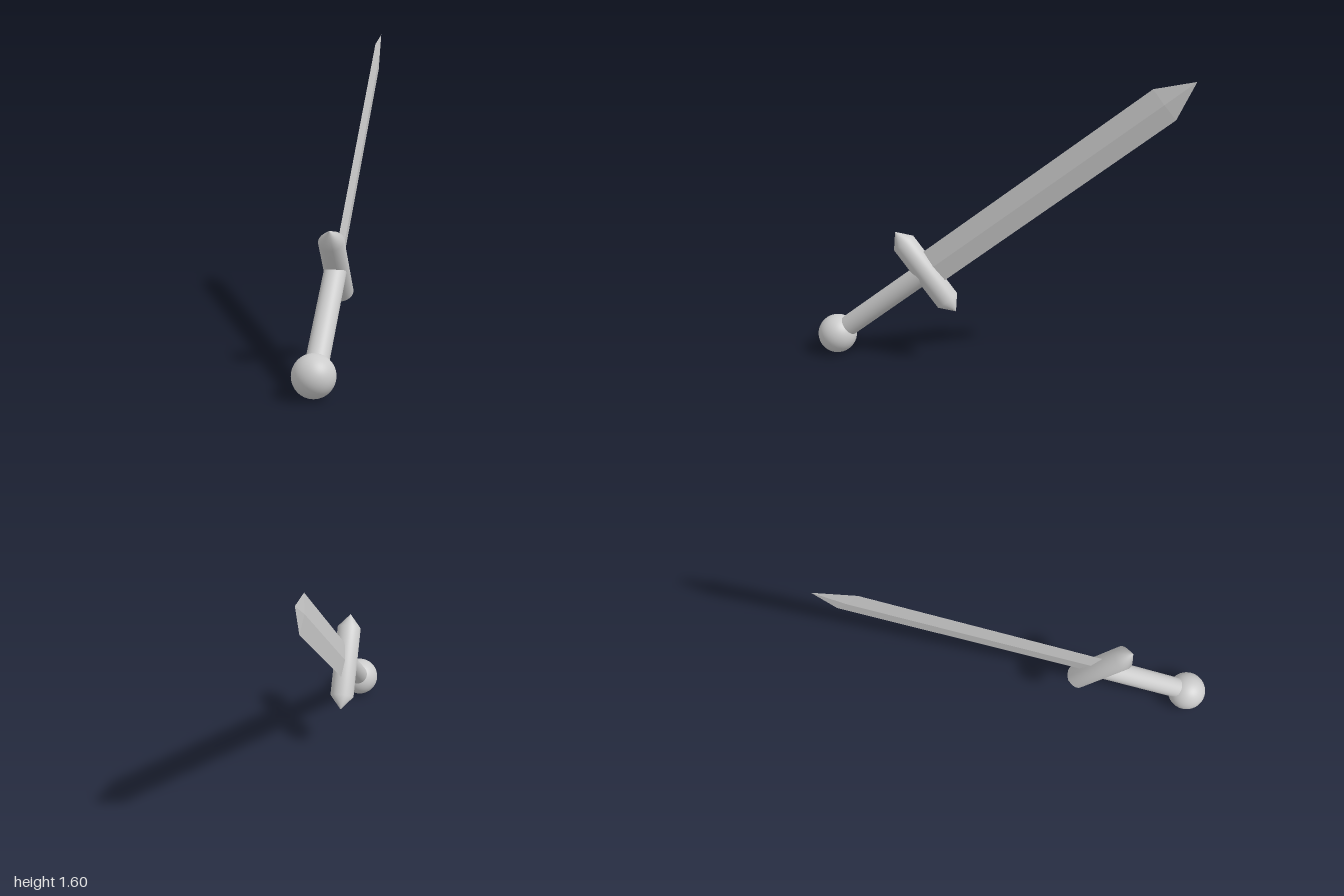
import * as THREE from 'three';

// Turned solid from [radius, height] profile points, bottom to top
function turned(name, points, sides, flatShading = false) {
  const geometry = new THREE.LatheGeometry(points.map(([r, y]) => new THREE.Vector2(r, y)), sides);
  const material = new THREE.MeshStandardMaterial({ color: 0xcccccc, flatShading });
  const mesh = new THREE.Mesh(geometry, material);
  mesh.name = name;
  return mesh;
}

export function createModel() {
  // Modelled upright with the pommel at the origin, then leaned back
  const sword = new THREE.Group();
  sword.name = 'sword';

  const pommel = new THREE.Mesh(
    new THREE.SphereGeometry(0.105, 48, 32),
    new THREE.MeshStandardMaterial({ color: 0xcccccc })
  );
  pommel.name = 'pommel';

  // Round grip running into the guard
  const grip = turned('grip', [[0.056, 0.05], [0.056, 0.65]], 48);
  grip.position.x = 0.003;

  // Round crossguard with pointed ends
  const guard = turned('crossguard',
    [[0, -0.267], [0.064, -0.192], [0.064, 0.192], [0, 0.267]], 48);
  guard.rotation.set(Math.PI / 2, 0.015, 0);
  guard.position.set(0.003, 0.653, 0);

  // Blade with a flat diamond section and a point
  const blade = turned('blade', [[0, 0.61], [1, 0.61], [1, 2.22], [0, 2.414]], 4, true);
  blade.geometry.scale(0.012, 1, 0.0945);
  blade.rotation.z = 0.0085;
  blade.position.x = 0.016;

  sword.add(pommel, grip, guard, blade);
  sword.rotation.x = -0.902;
  sword.position.set(0, 0.105, 0.895);

  const model = new THREE.Group();
  model.add(sword);
  return model;
}
